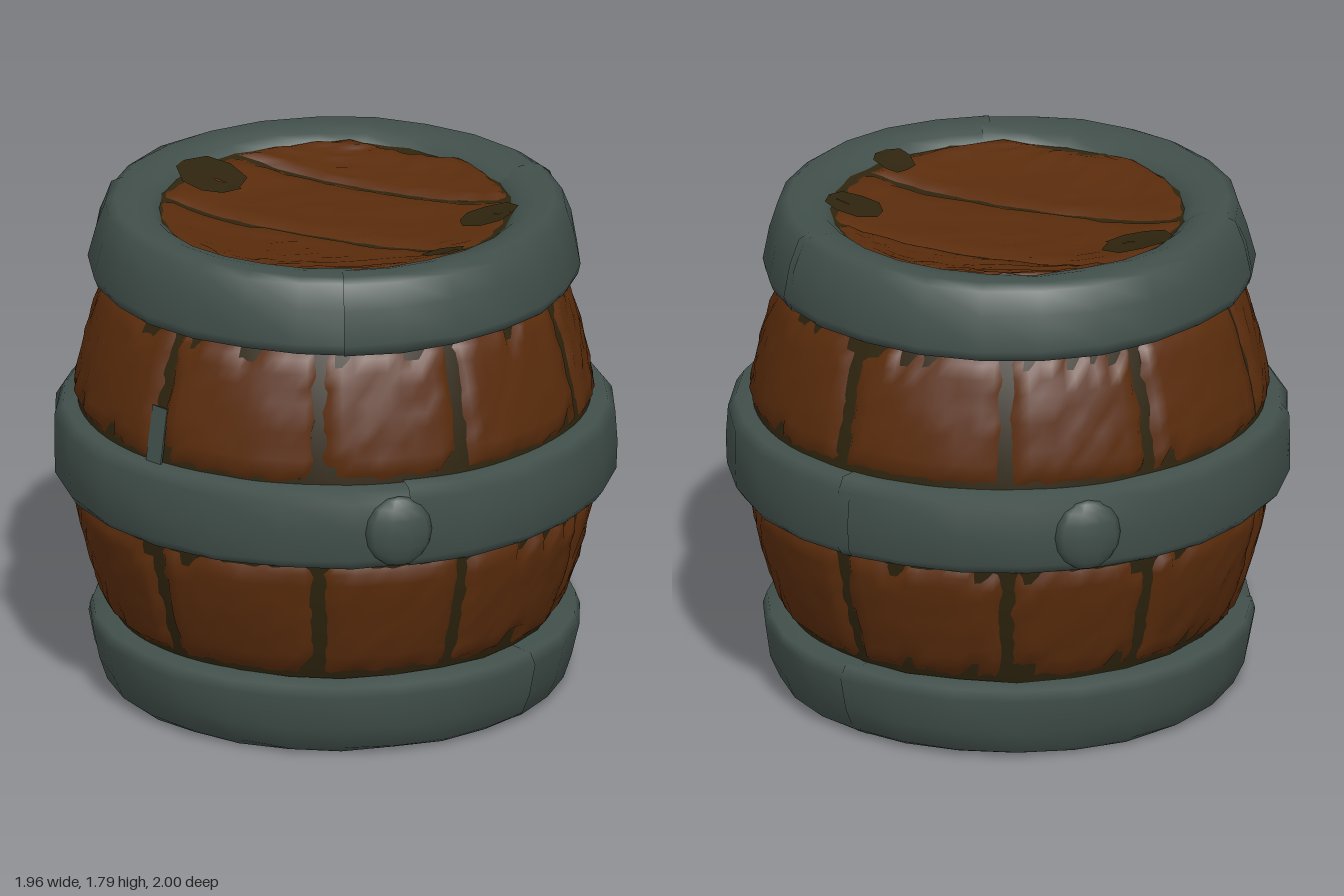
import * as THREE from 'three';

const HEIGHT = 1.79, MID = HEIGHT / 2, Z_SCALE = 0.965;

function seeded(seed) {
  return () => {
    seed = (seed * 16807) % 2147483647;
    return seed / 2147483647;
  };
}

// Bulging radius of the barrel body at height y
const bodyRadius = (y) => 0.925 - 0.347 * (y - MID) ** 2;

// Dished lid surface, rising toward the rim
const lidHeight = (x, y) => 0.4 * Math.min(x * x + y * y, 0.4) ** 2;

// Move every vertex of a geometry by a rule
function reshape(geometry, rule) {
  const p = geometry.attributes.position, v = new THREE.Vector3();
  for (let i = 0; i < p.count; i++) {
    v.fromBufferAttribute(p, i);
    rule(v);
    p.setXYZ(i, v.x, v.y, v.z);
  }
  geometry.computeVertexNormals();
  return geometry;
}

export function createModel() {
  const model = new THREE.Group();
  model.name = 'barrel';
  const rand = seeded(4271);
  const jitter = (s) => (rand() - 0.5) * 2 * s;

  const iron = new THREE.MeshStandardMaterial({ color: 0x414f4a });
  iron.name = 'weathered iron';
  const wood = new THREE.MeshStandardMaterial({ color: 0x5a2c0c });
  wood.name = 'brown wood';
  const grime = new THREE.MeshStandardMaterial({ color: 0x2e240e });
  grime.name = 'dark grime';
  iron.side = wood.side = THREE.DoubleSide;

  const add = (parent, name, geometry, material) => {
    const mesh = new THREE.Mesh(geometry, material);
    mesh.name = name;
    parent.add(mesh);
    return mesh;
  };

  // Dark core seen in the gaps between staves
  const corePoints = [];
  for (let i = 0; i <= 16; i++) {
    const y = 0.15 + (i / 16) * (HEIGHT - 0.3);
    corePoints.push(new THREE.Vector2(bodyRadius(y) - 0.016, y));
  }
  add(model, 'core', new THREE.LatheGeometry(corePoints, 72), grime).scale.z = Z_SCALE;

  // Staves: curved patches whose ragged, chipped edges sink into the core
  const seams = [-17, 17, 57, 123, 163, 197, 237, 303, 343].map(THREE.MathUtils.degToRad);
  const staves = new THREE.Group();
  staves.name = 'staves';
  model.add(staves);
  for (let s = 0; s < 8; s++) {
    const a0 = seams[s], span = seams[s + 1] - a0;
    const columns = Math.round(span / 0.05);
    for (const [y0, y1] of [[0.268, 0.754], [1.036, 1.522]]) {
      const lift = jitter(0.005);
      const patch = reshape(new THREE.PlaneGeometry(1, 1, columns, 10), (v) => {
        const edge = Math.abs(v.x) > 0.499 || Math.abs(v.y) > 0.499;
        const chipped = Math.abs(v.y) > 0.39 && rand() < 0.15;
        const angle = a0 + (v.x + 0.5) * span;
        const y = y0 + (v.y + 0.5) * (y1 - y0);
        const r = bodyRadius(y) + (edge || chipped ? -0.036 + jitter(0.012) : lift + jitter(0.005));
        v.set(r * Math.sin(angle), y, r * Math.cos(angle) * Z_SCALE);
      });
      add(staves, 'stave', patch, wood);
    }
  }

  // Iron sliver showing in one front seam
  const sliver = add(model, 'ironSliver', new THREE.BoxGeometry(0.07, 0.2, 0.008), iron);
  const sliverRadius = bodyRadius(1.14) - 0.006;
  sliver.rotation.order = 'YXZ';
  sliver.rotation.set(-0.17, seams[6] + 0.01, 0);
  sliver.position.set(sliverRadius * Math.sin(seams[7]), 1.14, sliverRadius * Math.cos(seams[7]) * Z_SCALE);
  sliver.rotation.y = seams[7];

  // Hoops: overlapping hammered arcs, one per joint
  function hoop(name, profile, joints, zScale) {
    const group = new THREE.Group();
    group.name = name;
    const points = profile.map(([r, y]) => new THREE.Vector2(r, y));
    joints.forEach((start, i) => {
      const end = i + 1 < joints.length ? joints[i + 1] : joints[0] + Math.PI * 2;
      const length = end - start + 0.05;
      const size = 1 - 0.003 * i;
      const arc = new THREE.LatheGeometry(points, Math.round(length * 4), start, length);
      reshape(arc, (v) => {
        const k = size + jitter(0.005);
        v.set(v.x * k, v.y + jitter(0.004), v.z * k * zScale);
      });
      add(group, 'hoopArc', arc, iron);
    });
    model.add(group);
    return group;
  }

  const rim = [
    [0.77, 1.515], [0.85, 1.52], [0.866, 1.56], [0.842, 1.68], [0.808, 1.765], [0.775, 1.785],
    [0.71, 1.784], [0.655, 1.768], [0.62, 1.74], [0.612, 1.71], [0.625, 1.66],
  ];
  hoop('topHoop', rim, [-0.2, 1.7, 4.22], 1);
  hoop('bottomHoop', rim.map(([r, y]) => [r, HEIGHT - y]).reverse(), [0.7, 2.1, 4.4], 1);
  const band = [
    [0.86, 0.75], [0.96, 0.752], [0.986, 0.785], [0.99, 0.89], [0.986, 1.0], [0.96, 1.04], [0.86, 1.045],
  ];
  const middle = hoop('middleHoop', band, [0.04, 2.2, 4.3], 0.975);

  // Shallow raised dents on the front and back of the middle hoop
  for (const side of [-1, 1]) {
    const dent = add(middle, 'dent', new THREE.SphereGeometry(1, 10, 8), iron);
    dent.scale.set(0.12, 0.13, 0.05);
    dent.position.set(0, 0.89, side * 0.95);
  }

  // Dished lids of planks laid diagonally, with ragged edges and stains
  for (const top of [true, false]) {
    const lid = new THREE.Group();
    lid.name = top ? 'topLid' : 'bottomLid';
    lid.rotation.order = 'YXZ';
    lid.rotation.set(top ? -Math.PI / 2 : Math.PI / 2, -0.67, top ? 0 : Math.PI);
    lid.position.y = top ? 1.685 : HEIGHT - 1.685;
    const backing = reshape(new THREE.RingGeometry(0, 0.645, 48, 10), (v) => {
      v.z = lidHeight(v.x, v.y);
    });
    add(lid, 'lidBacking', backing, grime);
    for (const [low, high] of [[-0.61, -0.14], [-0.16, 0.34], [0.32, 0.61]]) {
      const plank = reshape(new THREE.PlaneGeometry(2, 1, 20, 10), (v) => {
        const edge = Math.abs(v.x) > 0.999 || Math.abs(v.y) > 0.499;
        const y = low + (v.y + 0.5) * (high - low);
        const x = v.x * Math.sqrt(0.625 ** 2 - y * y);
        v.set(x, y, lidHeight(x, y) + (edge ? -0.012 + jitter(0.005) : 0.014 + jitter(0.005)));
      });
      add(lid, 'lidPlank', plank, wood);
    }
    for (const [x, y, size] of [[-0.52, 0.1, 0.12], [0.52, 0.16, 0.1], [0.53, -0.25, 0.07]]) {
      const stain = reshape(new THREE.RingGeometry(0, size, 9, 3), (v) => {
        v.x += x + jitter(size * 0.1);
        v.y += y + jitter(size * 0.1);
        v.z = lidHeight(v.x, v.y) + 0.022;
      });
      stain.name = 'stain';
      add(lid, 'stain', stain, grime);
    }
    model.add(lid);
  }

  return model;
}
